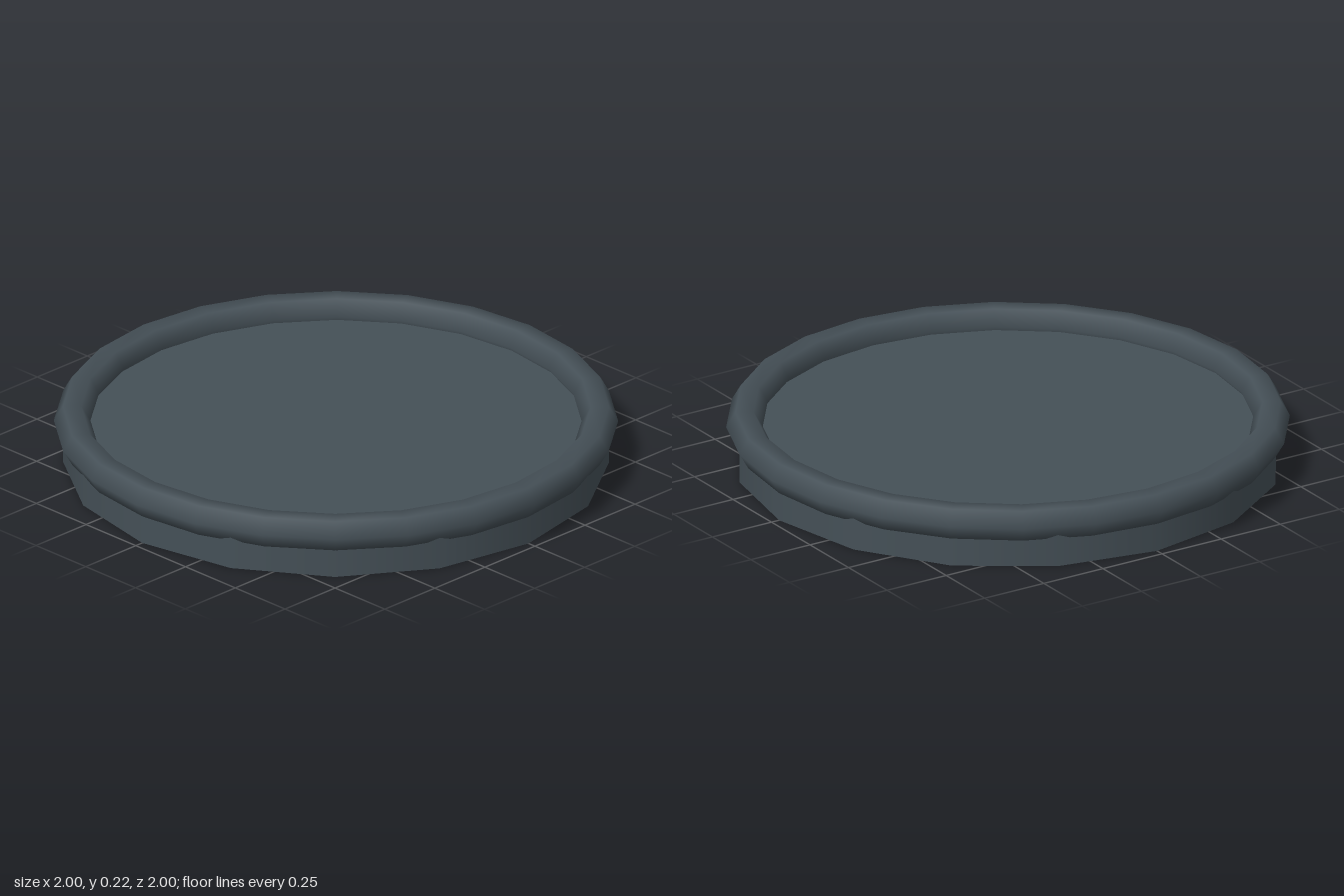
import * as THREE from 'three';

export function createModel() {
  const model = new THREE.Group();
  const material = new THREE.MeshStandardMaterial({ color: 0x455057 });

  // Sixteen-sided disc forming the floor and the lower wall
  const floorHeight = 0.145;
  const base = new THREE.Mesh(new THREE.CylinderGeometry(0.968, 0.968, floorHeight, 16), material);
  base.name = 'baseDisc';
  base.position.y = floorHeight / 2;
  model.add(base);

  // Raised rim: hexagonal tube bent round in 24 steps
  const rim = new THREE.Mesh(new THREE.TorusGeometry(0.935, 0.065, 6, 24), material);
  rim.name = 'rim';
  rim.rotation.x = Math.PI / 2;
  rim.position.y = 0.16;
  model.add(rim);

  return model;
}
